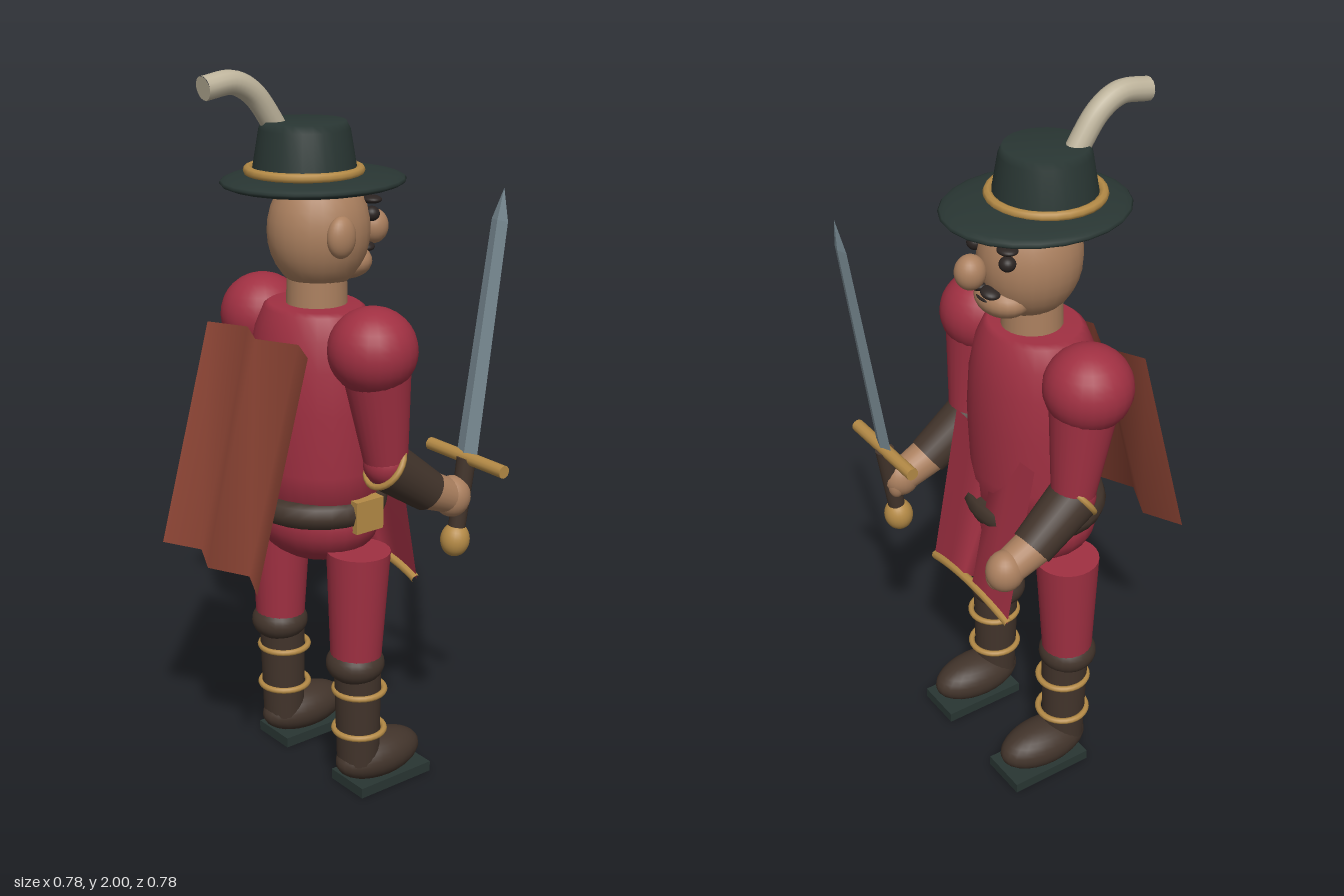
import * as THREE from 'three';

const mat = (name, color, opts = {}) => {
  const m = new THREE.MeshStandardMaterial({ color, ...opts });
  m.name = name;
  return m;
};

export function createModel() {
  const red = mat('red cloth', 0xa03042, { side: THREE.DoubleSide });
  const capeRed = mat('rust cape', 0x8c4434, { side: THREE.DoubleSide });
  const leather = mat('dark leather', 0x42342b);
  const gold = mat('gold', 0xb48a46);
  const hatGreen = mat('dark hat', 0x293633);
  const skin = mat('skin', 0xab805f);
  const plume = mat('plume', 0xbdb39b);
  const steel = mat('steel', 0x7c8e97, { flatShading: true });
  const dark = mat('dark hair', 0x2b2422);

  const model = new THREE.Group();
  model.name = 'swordsman';
  const CX = -0.033, CZ = -0.027; // body axis

  const add = (name, geo, material, x = 0, y = 0, z = 0, parent = model) => {
    const mesh = new THREE.Mesh(geo, material);
    mesh.name = name;
    mesh.position.set(x, y, z);
    parent.add(mesh);
    return mesh;
  };
  const ball = (name, m, x, y, z, rx, ry = rx, rz = rx, parent = model) => {
    const mesh = add(name, new THREE.SphereGeometry(1, 24, 16), m, x, y, z, parent);
    mesh.scale.set(rx, ry, rz);
    return mesh;
  };
  // Tapered cylinder from point a (radius ra) to point b (radius rb)
  const limb = (name, m, a, b, ra, rb) => {
    const A = new THREE.Vector3(...a), B = new THREE.Vector3(...b), d = B.clone().sub(A);
    const mesh = add(name, new THREE.CylinderGeometry(rb, ra, d.length(), 24), m);
    mesh.position.copy(A).add(B).multiplyScalar(0.5);
    mesh.quaternion.setFromUnitVectors(new THREE.Vector3(0, 1, 0), d.normalize());
    return mesh;
  };
  const ring = (name, m, x, y, z, r, tube) => {
    const mesh = add(name, new THREE.TorusGeometry(r, tube, 8, 28), m, x, y, z);
    mesh.rotation.x = Math.PI / 2;
    return mesh;
  };
  const lathe = (pts) => new THREE.LatheGeometry(pts.map(p => new THREE.Vector2(...p)), 28);
  // Folded cloth: columns [z, xFold] hung between a top and a bottom [x, y]
  const cloth = (name, m, cols, top, bottom) => {
    const pos = [], idx = [];
    cols.forEach(([z, fold, lift = 0], i) => {
      pos.push(top[0] + fold, top[1], z, bottom[0] + fold, bottom[1] + lift, z);
      if (i) idx.push(2 * i - 2, 2 * i - 1, 2 * i, 2 * i, 2 * i - 1, 2 * i + 1);
    });
    const geo = new THREE.BufferGeometry();
    geo.setAttribute('position', new THREE.Float32BufferAttribute(pos, 3));
    geo.setIndex(idx);
    geo.computeVertexNormals();
    return add(name, geo, m);
  };

  // Torso, hips and neck
  const torso = add('torso', lathe([[0, 0.78], [0.185, 0.78], [0.195, 0.95], [0.2, 1.12],
    [0.192, 1.24], [0.175, 1.32], [0.15, 1.375], [0.135, 1.385], [0, 1.385]]), red, CX, 0, CZ);
  torso.scale.x = 0.86;
  ball('hips', red, CX + 0.003, 0.8, CZ, 0.168, 0.137, 0.2);
  add('neck', new THREE.CylinderGeometry(0.08, 0.083, 0.12, 24), skin, -0.025, 1.42, CZ);

  // Belt with side buckle
  const belt = ring('belt', leather, CX - 0.002, 0.84, CZ, 0.17, 0.03);
  belt.scale.set(0.97, 1.06, 1.25);
  add('buckle', new THREE.BoxGeometry(0.09, 0.09, 0.035), gold, -0.01, 0.837, 0.17);

  // Front tabard with central fold, and curved hem
  cloth('tabard', red, [[0.16, 0], [0.07, 0.005, 0.02], [-0.005, 0.008, 0.028], [-0.027, -0.05, 0.028],
    [-0.049, 0.008, 0.028], [-0.124, 0.005, 0.02], [-0.214, 0]], [0.095, 1.06], [0.182, 0.592]);
  const hem = new THREE.QuadraticBezierCurve3(new THREE.Vector3(0.178, 0.592, 0.16),
    new THREE.Vector3(0.192, 0.653, CZ), new THREE.Vector3(0.178, 0.592, -0.214));
  add('tabardHem', new THREE.TubeGeometry(hem, 20, 0.013, 8), gold);

  // Pleated cape
  cloth('cape', capeRed, [[0.2, 0], [0.086, 0.055], [-0.028, 0], [-0.143, 0.055], [-0.253, 0]],
    [-0.225, 1.315], [-0.39, 0.712]);

  // Head and face
  ball('head', skin, -0.018, 1.58, CZ, 0.14, 0.165, 0.132);
  ball('chin', skin, 0.065, 1.487, CZ, 0.07, 0.05, 0.085);
  ball('ear', skin, -0.042, 1.58, 0.1, 0.042, 0.055, 0.03);
  ball('nose', skin, 0.15, 1.57, -0.008, 0.042, 0.047, 0.04);
  for (const s of [1, -1]) {
    ball('eye', dark, 0.1, 1.617, CZ + s * 0.073, 0.022, 0.02, 0.022);
    ball('eyebrow', dark, 0.1, 1.655, CZ + s * 0.073, 0.026, 0.011, 0.03);
    const half = ball('moustache', dark, 0.118, 1.522, CZ + s * 0.024, 0.026, 0.013, 0.028);
    half.rotation.x = s * 0.2;
  }
  ball('mouth', dark, 0.122, 1.498, CZ, 0.014, 0.006, 0.03);

  // Hat with band and plume
  ball('hatBrim', hatGreen, -0.035, 1.71, CZ, 0.253, 0.03, 0.225);
  add('hatCrown', lathe([[0.14, 1.7], [0.136, 1.74], [0.118, 1.845], [0.108, 1.865], [0, 1.865]]),
    hatGreen, -0.063, 0, CZ);
  ring('hatBand', gold, -0.065, 1.74, CZ, 0.145, 0.013);
  const plumePath = new THREE.CatmullRomCurve3([[-0.1, 1.8], [-0.138, 1.865], [-0.195, 1.938],
    [-0.255, 1.969], [-0.342, 1.96]].map(([x, y]) => new THREE.Vector3(x, y, -0.066)));
  add('plume', new THREE.TubeGeometry(plumePath, 24, 0.031, 14), plume);
  const tip = add('plumeTip', new THREE.CircleGeometry(0.031, 14), plume, -0.342, 1.96, -0.066);
  tip.lookAt(-1.342, 1.78, -0.066);

  // Arms and legs, mirrored about the body axis
  for (const s of [1, -1]) {
    const z = (d) => CZ + s * d;
    ball('shoulderPuff', red, CX + 0.003, 1.305, z(0.243), 0.118, 0.115, 0.118);
    limb('sleeve', red, [-0.02, 1.28, z(0.243)], [0.015, 0.99, z(0.248)], 0.094, 0.058);
    ball('elbow', red, 0.015, 0.99, z(0.248), 0.062);
    limb('cuff', leather, [0.008, 0.99, z(0.248)], [0.152, 0.885, z(0.258)], 0.07, 0.058);
    const trim = add('cuffTrim', new THREE.TorusGeometry(0.066, 0.009, 8, 24), gold, 0.01, 0.988, z(0.248));
    trim.lookAt(0.154, 0.883, z(0.258));
    limb('wrist', skin, [0.145, 0.89, z(0.258)], [0.235, 0.85, z(0.26)], 0.054, 0.047);
    ball('hand', skin, 0.238, 0.85, z(0.262), 0.053, 0.058, 0.05);
    ball('thumb', skin, 0.262, 0.835, z(0.25), 0.024, 0.04, 0.026);

    limb('thigh', red, [-0.022, 0.73, z(0.18)], [-0.028, 0.4, z(0.178)], 0.088, 0.07);
    ball('knee', leather, -0.03, 0.395, z(0.178), 0.082, 0.058, 0.082);
    limb('bootShaft', leather, [-0.022, 0.4, z(0.178)], [-0.018, 0.09, z(0.178)], 0.067, 0.06);
    for (const y of [0.31, 0.187]) ring('bootRing', gold, -0.015, y, z(0.178), 0.07, 0.009);
    ball('shoe', leather, 0.053, 0.085, z(0.178), 0.14, 0.066, 0.076);
    add('sole', new THREE.BoxGeometry(0.25, 0.03, 0.14), hatGreen, 0.067, 0.02, z(0.178));
  }

  // Sword held upright in one hand
  const sword = new THREE.Group();
  sword.name = 'sword';
  sword.position.set(0.284, 0.953, 0.239);
  sword.rotation.z = -0.146;
  model.add(sword);
  const blade = add('blade', new THREE.CylinderGeometry(0.031, 0.04, 0.65, 4), steel, 0, 0.325, 0, sword);
  const point = add('bladePoint', new THREE.ConeGeometry(0.031, 0.085, 4), steel, 0, 0.6925, 0, sword);
  blade.scale.x = point.scale.x = 0.3;
  const guard = add('guard', new THREE.CylinderGeometry(0.018, 0.018, 0.298, 12), gold, 0, 0, 0, sword);
  guard.rotation.x = Math.PI / 2;
  add('grip', new THREE.CylinderGeometry(0.027, 0.024, 0.2, 14), leather, 0, -0.1, 0, sword);
  ball('pommel', gold, 0, -0.235, 0, 0.041, 0.048, 0.041, sword);

  return model;
}
